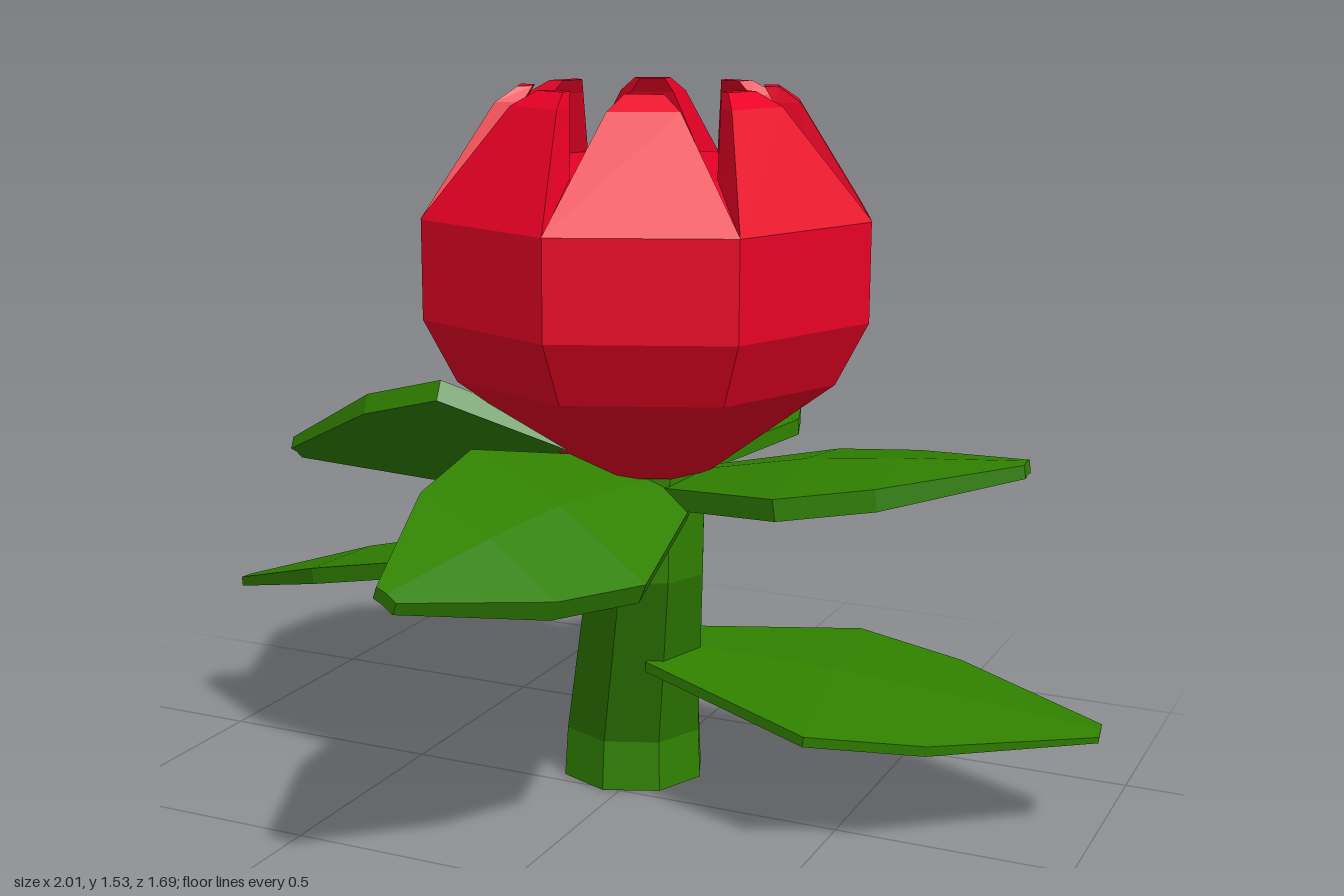
import * as THREE from 'three';

const V = (x, y, z) => new THREE.Vector3(x, y, z);
const UP = V(0, 1, 0);
const red = new THREE.MeshStandardMaterial({ color: 0xe90025, flatShading: true });
const green = new THREE.MeshStandardMaterial({ color: 0x308000, flatShading: true });

// Closed solid skinned over a list of equal-sized point rings
function loft(name, rings, material) {
  const n = rings[0].length, last = (rings.length - 1) * n, index = [];
  for (let i = 0; i < rings.length - 1; i++) {
    for (let j = 0; j < n; j++) {
      const a = i * n + j, b = i * n + (j + 1) % n;
      index.push(a, b, b + n, a, b + n, a + n);
    }
  }
  for (let j = 1; j < n - 1; j++) {
    index.push(0, j + 1, j, last, last + j, last + j + 1);
  }
  const geometry = new THREE.BufferGeometry().setFromPoints(rings.flat());
  geometry.setIndex(index);
  const flat = geometry.toNonIndexed();
  flat.computeVertexNormals();
  const mesh = new THREE.Mesh(flat, material);
  mesh.name = name;
  return mesh;
}

// Eight-sided horizontal ring
function octagon(x, y, z, r) {
  return Array.from({ length: 8 }, (_, k) => {
    const a = k * Math.PI / 4;
    return V(x + r * Math.cos(a), y, z - r * Math.sin(a));
  });
}

// Petal leaning inwards; each section is [height, outer radius, outer half width, inner radius, inner half width]
function petal(angle) {
  const u = V(Math.cos(angle), 0, -Math.sin(angle));
  const v = V(-Math.sin(angle), 0, -Math.cos(angle));
  const sections = [
    [1.28, 0.443, 0.184, 0.33, 0.137],
    [1.50, 0.305, 0.07, 0.25, 0.045],
    [1.53, 0.262, 0.038, 0.232, 0.026],
  ];
  const rings = sections.map(([y, ro, wo, ri, wi]) =>
    [[ro, -wo], [ro, wo], [ri, wi], [ri, -wi]].map(([r, w]) =>
      V(0.065, y, 0).addScaledVector(u, r).addScaledVector(v, w)));
  return loft('petal', rings, red);
}

// Leaf from root to tip: rolled about its length, arched, with the edges folded down
function leaf(name, { root, tip, width, roll = 0, arch = 0.04, fold = 0.025, thickness = 0.045 }) {
  const a = V(...root), b = V(...tip);
  const dir = b.clone().sub(a).normalize();
  const side = dir.clone().cross(UP).normalize().applyAxisAngle(dir, -THREE.MathUtils.degToRad(roll));
  const normal = side.clone().cross(dir);
  const stations = [
    // along, half width, arch, thickness
    [0, 0.36, 0, 1],
    [0.41, 1, 1, 1],
    [0.66, 0.77, 0.75, 1],
    [1, 0.11, 0, 0.6],
  ];
  const rings = stations.map(([t, w, h, thick]) => {
    const c = a.clone().lerp(b, t).addScaledVector(UP, h * arch);
    const at = (s, drop) => c.clone().addScaledVector(side, s * w * width)
      .addScaledVector(normal, -drop * thickness - Math.abs(s) * w * fold);
    return [at(-1, 0), at(0, 0), at(1, 0), at(1, thick), at(0, thick), at(-1, thick)];
  });
  return loft(name, rings, green);
}

export function createModel() {
  const model = new THREE.Group();
  model.name = 'flower';

  // Bent stem
  model.add(loft('stem', [
    octagon(-0.035, 0, -0.15, 0.163),
    octagon(-0.035, 0.11, -0.152, 0.157),
    octagon(0.062, 0.52, 0, 0.131),
    octagon(0.065, 0.8, 0, 0.131),
  ], green));

  // Blossom: faceted cup topped by eight petals
  const blossom = new THREE.Group();
  blossom.name = 'blossom';
  const cup = [[0.745, 0.14], [0.95, 0.41], [1.08, 0.478], [1.28, 0.478], [1.37, 0.325]];
  blossom.add(loft('cup', cup.map(([y, r]) => octagon(0.065, y, 0, r)), red));
  for (let k = 0; k < 8; k++) blossom.add(petal((k + 0.5) * Math.PI / 4));
  model.add(blossom);

  // Four upper and two lower leaves
  model.add(
    leaf('frontLeaf', { root: [0.13, 0.74, 0.06], tip: [-0.065, 0.68, 0.84], width: 0.24, roll: 25, arch: 0.03 }),
    leaf('backLeaf', { root: [0.035, 0.74, -0.06], tip: [-0.01, 0.715, -0.84], width: 0.24, arch: 0.06, fold: 0.01, thickness: 0.035 }),
    leaf('upperLeftLeaf', { root: [0.1, 0.73, 0], tip: [0.86, 0.825, -0.04], width: 0.23, arch: 0.02, fold: 0.03 }),
    leaf('upperRightLeaf', { root: [0.02, 0.76, 0.02], tip: [-0.73, 0.74, 0.11], width: 0.265, roll: -33, arch: 0.075 }),
    leaf('lowerLeftLeaf', { root: [0.07, 0.34, -0.06], tip: [1, 0.235, -0.2], width: 0.31, roll: -3, arch: 0.015, thickness: 0.022 }),
    leaf('lowerRightLeaf', { root: [0, 0.525, -0.05], tip: [-1, 0.35, -0.065], width: 0.305, roll: -7, arch: 0.07, thickness: 0.035 }),
  );
  return model;
}
